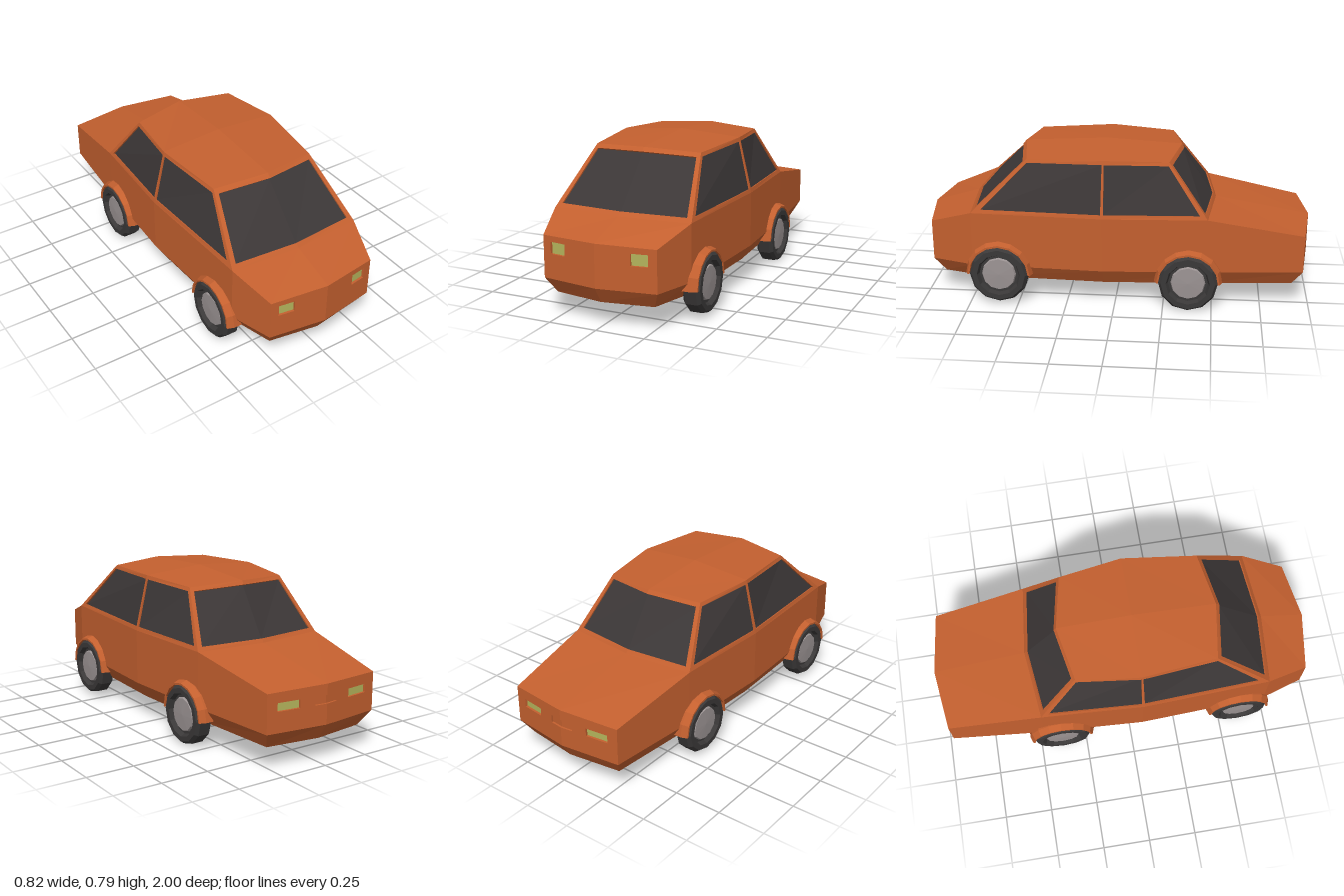
import * as THREE from 'three';

const PAINT = 0xc4602f, GLASS = 0x3c3737, LAMP = 0xb4b45c, TYRE = 0x3a3838, HUB = 0x9a9292;
const V = (x, y, z) => new THREE.Vector3(x, y, z);
const flip = p => V(-p.x, p.y, p.z);
const mirrorRow = row => row.map(flip).reverse();
const lerp = (a, b, t) => a.clone().lerp(b, t);

const material = color =>
  new THREE.MeshStandardMaterial({ color, flatShading: true, side: THREE.DoubleSide });

// Collects flat faces and turns them into one mesh
class Faces {
  constructor() { this.points = []; }
  tri(a, b, c) { this.points.push(a, b, c); }
  quad(a, b, c, d) { this.tri(a, b, c); this.tri(a, c, d); }
  // a quad and its mirror image across x = 0
  pair(a, b, c, d) { this.quad(a, b, c, d); this.quad(flip(d), flip(c), flip(b), flip(a)); }
  mesh(name, color) {
    const geometry = new THREE.BufferGeometry().setFromPoints(this.points);
    geometry.computeVertexNormals();
    const mesh = new THREE.Mesh(geometry, material(color));
    mesh.name = name;
    return mesh;
  }
}

// Hole with side walls and a floor; rows run left to right seen from outside
function recess(walls, floor, bottom, top, depth) {
  const n = bottom.length;
  const normal = bottom[n - 1].clone().sub(bottom[0])
    .cross(top[0].clone().sub(bottom[0])).normalize();
  const sink = p => p.clone().addScaledVector(normal, -depth);
  const loop = [...bottom, ...[...top].reverse()];
  loop.forEach((a, i) => {
    const b = loop[(i + 1) % loop.length];
    walls.quad(a, b, sink(b), sink(a));
  });
  for (let i = 0; i < n - 1; i++) {
    floor.quad(sink(bottom[i]), sink(bottom[i + 1]), sink(top[i + 1]), sink(top[i]));
  }
}

// Painted frame around a sunk pane
function framedWindow(walls, glass, bottom, top, insetStart, insetEnd) {
  const n = bottom.length, v = 0.07;
  const inset = row => row.map((p, i) =>
    i === 0 ? lerp(p, row[1], insetStart)
      : i === n - 1 ? lerp(p, row[n - 2], insetEnd) : p);
  const b = inset(bottom), t = inset(top);
  const innerBottom = b.map((p, i) => lerp(p, t[i], v));
  const innerTop = b.map((p, i) => lerp(p, t[i], 1 - v));
  const outer = [...bottom, ...[...top].reverse()];
  const inner = [...innerBottom, ...[...innerTop].reverse()];
  outer.forEach((p, i) => {
    const j = (i + 1) % outer.length;
    walls.quad(p, outer[j], inner[j], inner[i]);
  });
  recess(walls, glass, innerBottom, innerTop, 0.008);
}

// Creased end panel with sunk lamps and, if asked, a sunk plate; s = 1 front, -1 back
function endPanel(body, lamps, s, { zMid, zEdge, w, yEdge, yMid, lamp, plate }) {
  const place = (u, y) => V(s * u, y, s * (zMid - (zMid - zEdge) * Math.abs(u) / w));
  const [x0, x1, y0, y1] = lamp;
  for (const m of [-1, 1]) {
    const outline = [[0, 0.205], [w, 0.205], [w, yEdge], [0, yMid]];
    if (plate) {
      const [pw, p0, p1] = plate;
      outline.push([0, p1], [pw, p1], [pw, p0], [0, p0]);
    }
    const shape = new THREE.Shape(outline.map(([u, y]) => new THREE.Vector2(m * u, y)));
    shape.holes.push(new THREE.Path([[x0, y0], [x1, y0], [x1, y1], [x0, y1]]
      .map(([u, y]) => new THREE.Vector2(m * u, y))));
    const pos = new THREE.ShapeGeometry(shape).toNonIndexed().attributes.position;
    for (let i = 0; i < pos.count; i++) body.points.push(place(pos.getX(i), pos.getY(i)));
    const us = [m * x0, m * x1].sort((a, b) => a - b);
    recess(body, lamps, us.map(u => place(u, y0)), us.map(u => place(u, y1)), 0.012);
  }
  if (plate) {
    const [pw, p0, p1] = plate, us = [-pw, 0, pw];
    recess(body, body, us.map(u => place(u, p0)), us.map(u => place(u, p1)), 0.01);
  }
}

// Ring or disc turned about the x axis, outer side facing s
function turned(name, profile, color, s, segments, start = 0, sweep = Math.PI * 2) {
  const points = profile.map(([r, h]) => new THREE.Vector2(r, h));
  const geometry = new THREE.LatheGeometry(points, segments, start, sweep);
  geometry.rotateZ(-s * Math.PI / 2);
  const mesh = new THREE.Mesh(geometry, material(color));
  mesh.name = name;
  return mesh;
}

function wheel(s, y, z, name) {
  const group = new THREE.Group();
  group.name = name;
  group.add(
    turned('tyre', [[0, 0.315], [0.135, 0.315], [0.152, 0.33], [0.152, 0.39], [0.138, 0.408],
      [0.112, 0.408], [0.102, 0.385], [0, 0.385]], TYRE, s, 12),
    turned('hub', [[0.09, 0.383], [0.084, 0.396], [0, 0.4]], HUB, s, 12),
    turned('wheelArch', [[0.174, 0.33], [0.174, 0.372], [0.162, 0.405], [0.152, 0.405], [0.152, 0.33]],
      PAINT, s, 8, s > 0 ? Math.PI : 0, Math.PI));
  group.position.set(0, y, z);
  return group;
}

export function createModel() {
  const car = new THREE.Group();
  car.name = 'car';
  const body = new Faces(), cabin = new Faces(), glass = new Faces(), lamps = new Faces();

  // Left half of the upper edge, front centre to back centre
  const rim = [V(0, 0.42, 1), V(0.297, 0.415, 0.955), V(0.365, 0.49, 0.735), V(0.395, 0.49, 0.06),
    V(0.365, 0.49, -0.47), V(0.32, 0.4, -0.96), V(0, 0.405, -1)];
  const waist = rim.map(p => V(p.x, 0.205, p.z));
  const sill = rim.map(p => V(p.x * 0.87, 0.123, p.z * 0.945));
  const cowl = V(0, 0.49, 0.765), shelf = V(0, 0.49, -0.51);

  // Side walls, tucked-in sill and floor
  for (let i = 0; i < rim.length - 1; i++) {
    if (i > 0 && i < rim.length - 2) body.pair(waist[i], waist[i + 1], rim[i + 1], rim[i]);
    body.pair(sill[i], sill[i + 1], waist[i + 1], waist[i]);
    body.quad(sill[i], flip(sill[i]), flip(sill[i + 1]), sill[i + 1]);
  }

  // Bonnet and boot lid
  body.pair(rim[0], rim[1], rim[2], cowl);
  body.pair(shelf, rim[4], rim[5], rim[6]);

  // Front and back panels
  endPanel(body, lamps, 1, { zMid: 1, zEdge: 0.955, w: 0.297, yEdge: 0.415, yMid: 0.42,
    lamp: [0.172, 0.255, 0.328, 0.387] });
  endPanel(body, lamps, -1, { zMid: 1, zEdge: 0.96, w: 0.32, yEdge: 0.4, yMid: 0.405,
    lamp: [0.145, 0.265, 0.308, 0.35], plate: [0.065, 0.308, 0.35] });

  // Roof
  const roofSide = [V(0.285, 0.762, 0.45), V(0.327, 0.775, 0.06), V(0.28, 0.762, -0.27)];
  const roofMid = [V(0, 0.775, 0.495), V(0, 0.797, 0.06), V(0, 0.775, -0.325)];
  for (let i = 0; i < 2; i++) {
    cabin.pair(roofMid[i], roofSide[i], roofSide[i + 1], roofMid[i + 1]);
  }

  // Windscreen and rear window
  framedWindow(cabin, glass, [flip(rim[2]), cowl, rim[2]],
    [flip(roofSide[0]), roofMid[0], roofSide[0]], 0.07, 0.07);
  framedWindow(cabin, glass, [rim[4], shelf, flip(rim[4])],
    [roofSide[2], roofMid[2], flip(roofSide[2])], 0.07, 0.07);

  // Side windows, two on each side
  for (let i = 0; i < 2; i++) {
    const bottom = [rim[2 + i], rim[3 + i]], top = [roofSide[i], roofSide[i + 1]];
    const [a, b] = i === 0 ? [0.05, 0.013] : [0.013, 0.05];
    framedWindow(cabin, glass, bottom, top, a, b);
    framedWindow(cabin, glass, mirrorRow(bottom), mirrorRow(top), b, a);
  }

  car.add(body.mesh('body', PAINT), cabin.mesh('cabin', PAINT),
    glass.mesh('windows', GLASS), lamps.mesh('lamps', LAMP));

  // Wheels with their arches
  car.add(wheel(1, 0.168, 0.595, 'frontLeftWheel'), wheel(-1, 0.162, 0.595, 'frontRightWheel'),
    wheel(1, 0.154, -0.378, 'backLeftWheel'), wheel(-1, 0.162, -0.378, 'backRightWheel'));
  return car;
}
